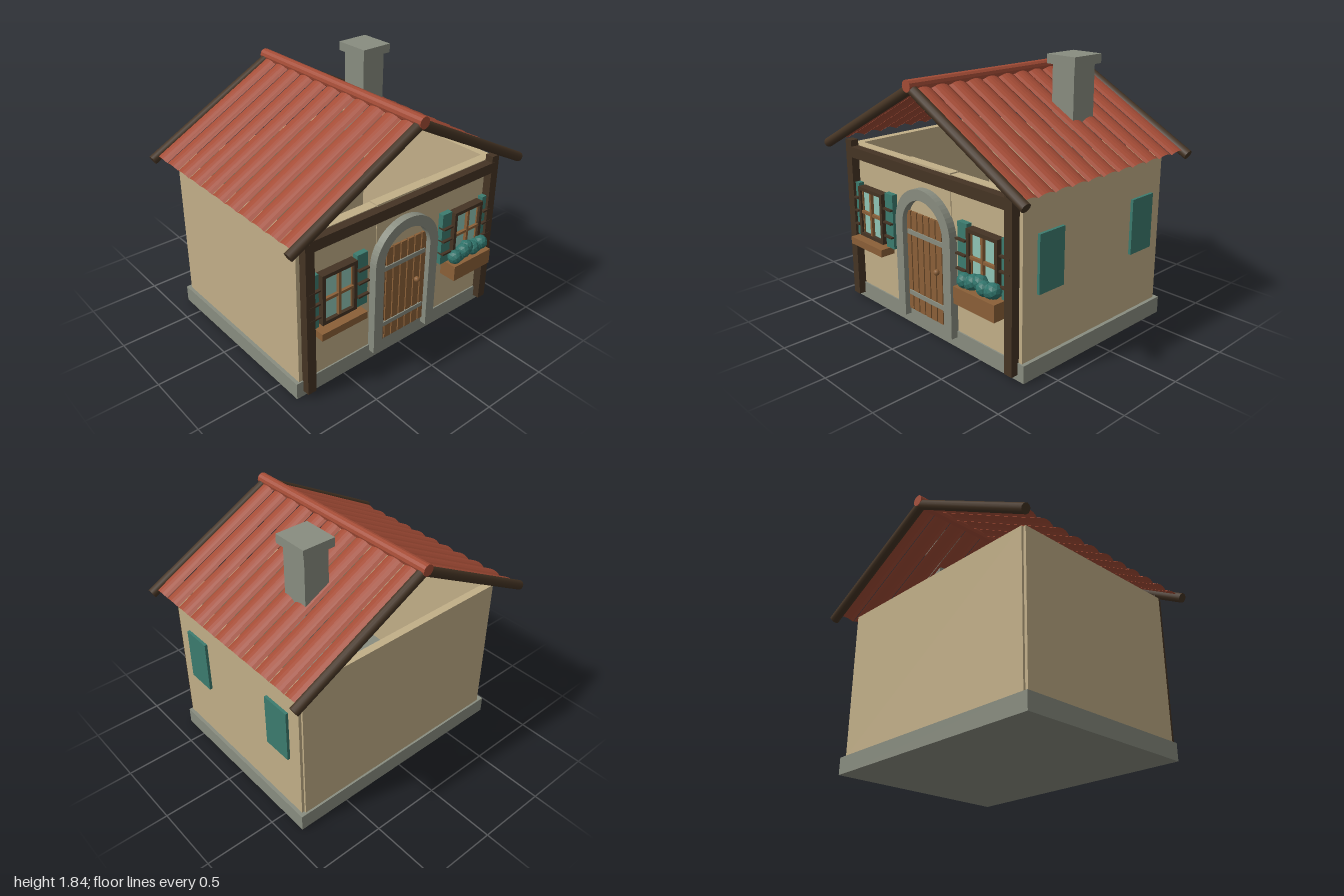
import * as THREE from 'three';

const mat = (name, color, extra = {}) => {
  const m = new THREE.MeshStandardMaterial({ color, ...extra });
  m.name = name;
  return m;
};

export function createModel() {
  const house = new THREE.Group();
  house.name = 'cottage';
  const plaster = mat('plaster', 0xc2af88);
  const stone = mat('stone', 0x898d80);
  const tile = mat('roofTile', 0xa44c36, { side: THREE.DoubleSide, flatShading: true });
  const timber = mat('darkTimber', 0x453424);
  const wood = mat('wood', 0x8b6038);
  const paint = mat('shutterPaint', 0x3c7c6f);
  const glass = mat('glass', 0x90c6b6);
  const leaf = mat('leaf', 0x2f736a, { flatShading: true });

  const add = (name, geo, material, parent = house) => {
    const m = new THREE.Mesh(geo, material);
    m.name = name;
    parent.add(m);
    return m;
  };
  // Box given by its limits on each axis
  const box = (name, material, x0, x1, y0, y1, z0, z1, parent = house) => {
    const m = add(name, new THREE.BoxGeometry(x1 - x0, y1 - y0, z1 - z0), material, parent);
    m.position.set((x0 + x1) / 2, (y0 + y1) / 2, (z0 + z1) / 2);
    return m;
  };
  const group = (name) => {
    const g = new THREE.Group();
    g.name = name;
    house.add(g);
    return g;
  };

  // Stone base and open-topped walls
  box('base', stone, -0.885, 0.885, 0, 0.12, -0.68, 0.68);
  box('backWall', plaster, -0.84, 0.84, 0.12, 1.17, -0.665, -0.61);
  for (const s of [-1, 1]) {
    const x = [s * 0.8, s * 0.86].sort((a, b) => a - b);
    box('sideWall', plaster, ...x, 0.12, 1.17, -0.65, 0.61);
    const f = [s * 0.235, s * 0.86].sort((a, b) => a - b);
    box('frontWall', plaster, ...f, 0.12, 1.17, 0.6, 0.67);
  }
  box('frontWallCentre', plaster, -0.235, 0.235, 0.12, 1.178, 0.605, 0.675);

  // Timber framing of the front
  for (const s of [-1, 1])
    box('cornerPost', timber, s * 0.8 - 0.033, s * 0.8 + 0.033, 0.04, 1.21, 0.67, 0.73);
  box('crossBeam', timber, -0.8, 0.8, 1.09, 1.165, 0.665, 0.732);

  // Stone arch around the door
  const arch = new THREE.Shape();
  arch.moveTo(0.28, 0.075);
  arch.lineTo(0.28, 0.745);
  arch.absarc(0, 0.745, 0.28, 0, Math.PI, false);
  arch.lineTo(-0.28, 0.075);
  arch.lineTo(-0.205, 0.075);
  arch.lineTo(-0.205, 0.745);
  arch.absarc(0, 0.745, 0.205, Math.PI, 0, true);
  arch.lineTo(0.205, 0.075);
  arch.closePath();
  const archGeo = new THREE.ExtrudeGeometry(arch, { depth: 0.06, bevelEnabled: false, curveSegments: 14 });
  add('doorArch', archGeo, stone).position.z = 0.668;

  // Plank door
  const door = group('door');
  box('doorBacking', timber, -0.195, 0.195, 0.12, 0.83, 0.67, 0.682, door);
  const pitch = 0.063;
  for (let i = -3; i <= 3; i++) {
    const half = Math.abs(i) === 3 ? 0.02 : 0.0265;
    const x = i * pitch - Math.sign(i) * (Math.abs(i) === 3 ? 0.006 : 0);
    box('doorPlank', wood, x - half, x + half, 0.12, 0.835, 0.675, 0.692, door);
  }
  for (const y of [0.247, 0.69])
    box('doorStrap', stone, -0.19, 0.19, y - 0.016, y + 0.016, 0.68, 0.7, door);
  add('doorKnob', new THREE.SphereGeometry(0.021, 12, 8), wood, door).position.set(0.117, 0.49, 0.708);

  // Front windows with shutters
  for (const s of [-1, 1]) {
    const win = group('window');
    const c = s * 0.573;
    box('glassPane', glass, c - 0.12, c + 0.12, 0.54, 0.88, 0.67, 0.705, win);
    for (const e of [-1, 1]) {
      box('frameSide', timber, c + e * 0.125 - 0.0125, c + e * 0.125 + 0.0125, 0.525, 0.89, 0.67, 0.73, win);
      const y = 0.7075 + e * 0.17;
      box('frameRail', timber, c - 0.1125, c + 0.1125, y - 0.0125, y + 0.0125, 0.67, 0.73, win);
      box('innerTrim', wood, c + e * 0.108 - 0.004, c + e * 0.108 + 0.004, 0.55, 0.865, 0.67, 0.715, win);

      const x = c + e * 0.195;
      box('shutter', paint, x - 0.043, x + 0.043, 0.515, 0.905, 0.67, 0.71, win);
      for (const sy of [0.6, 0.7, 0.797])
        box('shutterSlat', timber, x - 0.043, x + 0.043, sy - 0.006, sy + 0.006, 0.68, 0.732, win);
    }
    box('mullion', wood, c - 0.01, c + 0.01, 0.55, 0.865, 0.69, 0.728, win);
    box('transom', wood, c - 0.112, c + 0.112, 0.695, 0.715, 0.69, 0.726, win);
  }
  box('windowSill', wood, -0.755, -0.39, 0.46, 0.512, 0.67, 0.78);

  // Planter with bushes
  const planter = group('planter');
  box('planterBox', wood, 0.39, 0.755, 0.4, 0.515, 0.67, 0.8, planter);
  const bushes = [[0.44, 0.555], [0.485, 0.55], [0.525, 0.572], [0.568, 0.58], [0.615, 0.56], [0.66, 0.555], [0.7, 0.572]];
  bushes.forEach(([x, y], i) => {
    const b = add('bush', new THREE.IcosahedronGeometry(0.052, 1), leaf, planter);
    b.position.set(x, y, i % 2 ? 0.735 : 0.748);
  });

  // Shutters on the left side wall
  for (const z of [-0.44, 0.44])
    box('sideShutter', paint, 0.855, 0.88, 0.54, 0.925, z - 0.108, z + 0.108);

  // Roof: rows of shallow curved tiles on both slopes
  const eave = new THREE.Vector2(0.945, 1.182), ridgeTop = new THREE.Vector2(0, 1.688);
  const dir = ridgeTop.clone().sub(eave);
  const slope = Math.atan2(-dir.x, dir.y);
  const R = 0.119, arc = 0.618;
  const tileGeo = new THREE.CylinderGeometry(R, R, dir.length(), 6, 1, true, Math.PI / 2 - arc, arc * 2);
  tileGeo.translate(-R * Math.cos(arc), 0, 0);
  tileGeo.rotateZ(slope);
  tileGeo.translate((eave.x + ridgeTop.x) / 2, (eave.y + ridgeTop.y) / 2, 0);
  for (const turn of [0, Math.PI]) {
    const side = group('roofSlope');
    side.rotation.y = turn;
    for (let i = -5; i <= 5; i++)
      add('tileRow', tileGeo, tile, side).position.z = i * 0.142;
  }
  const ridge = add('ridgeTile', new THREE.CylinderGeometry(0.04, 0.04, 1.62, 12), tile);
  ridge.rotation.x = Math.PI / 2;
  ridge.position.y = 1.702;

  // Round gable beams at both ends
  const foot = new THREE.Vector3(0.984, 1.165, 0), peak = new THREE.Vector3(0, 1.685, 0);
  const span = peak.clone().sub(foot);
  for (const z of [-0.775, 0.775]) for (const s of [-1, 1]) {
    const beam = add('gableBeam', new THREE.CylinderGeometry(0.034, 0.034, span.length(), 12), timber);
    beam.position.set(s * foot.x / 2, (foot.y + peak.y) / 2, z);
    beam.rotation.z = s * Math.atan2(-span.x, span.y);
  }

  // Chimney
  box('chimney', stone, 0.342, 0.527, 1.16, 1.785, -0.32, -0.12);
  box('chimneyCap', stone, 0.317, 0.555, 1.78, 1.842, -0.35, -0.09);

  return house;
}
